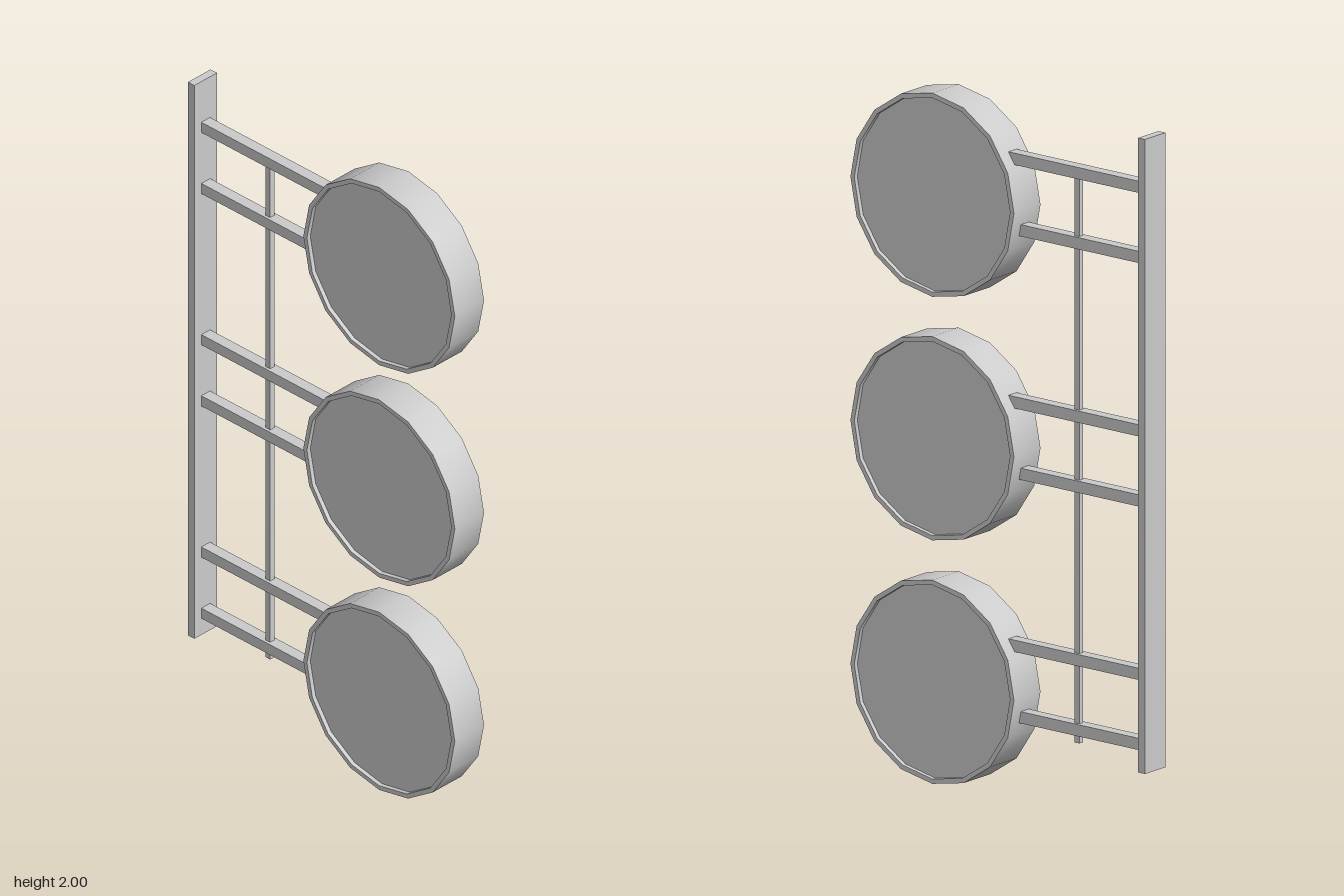
import * as THREE from 'three';
import { toCreasedNormals } from 'three/addons/utils/BufferGeometryUtils.js';

export function createModel() {
  const model = new THREE.Group();
  model.name = 'discRack';
  const material = new THREE.MeshStandardMaterial({ color: 0xcccccc });

  const add = (name, geometry, x, y, z = 0) => {
    const mesh = new THREE.Mesh(geometry, material);
    mesh.name = name;
    mesh.position.set(x, y, z);
    model.add(mesh);
    return mesh;
  };

  // Box given by its x and y extents and its depth, centred on z = 0
  const addBox = (name, x0, x1, y0, y1, depth) =>
    add(name, new THREE.BoxGeometry(x1 - x0, y1 - y0, depth), (x0 + x1) / 2, (y0 + y1) / 2);

  // Upright mounting plate and thin vertical rod
  addBox('mountingPlate', -0.527, -0.502, 0.163, 2, 0.09);
  addBox('verticalRod', -0.26, -0.243, 0.195, 1.835, 0.017);

  // Sixteen-sided disc with a narrow raised rim on both faces
  const radius = 0.295, inner = 0.281, half = 0.058, recess = 0.013;
  const profile = [
    [0, recess - half], [inner, recess - half], [inner, -half], [radius, -half],
    [radius, half], [inner, half], [inner, half - recess], [0, half - recess],
  ].map(([r, h]) => new THREE.Vector2(r, h));
  const discGeometry = toCreasedNormals(new THREE.LatheGeometry(profile, 16), 0.6);
  discGeometry.rotateX(Math.PI / 2);

  // Three discs, each carried by two horizontal arms
  for (const y of [0.295, 1.0, 1.705]) {
    add('disc', discGeometry, 0.23, y);
    for (const offset of [0.143, -0.06]) {
      addBox('arm', -0.505, -0.012, y + offset - 0.017, y + offset + 0.017, 0.035);
    }
  }

  return model;
}
